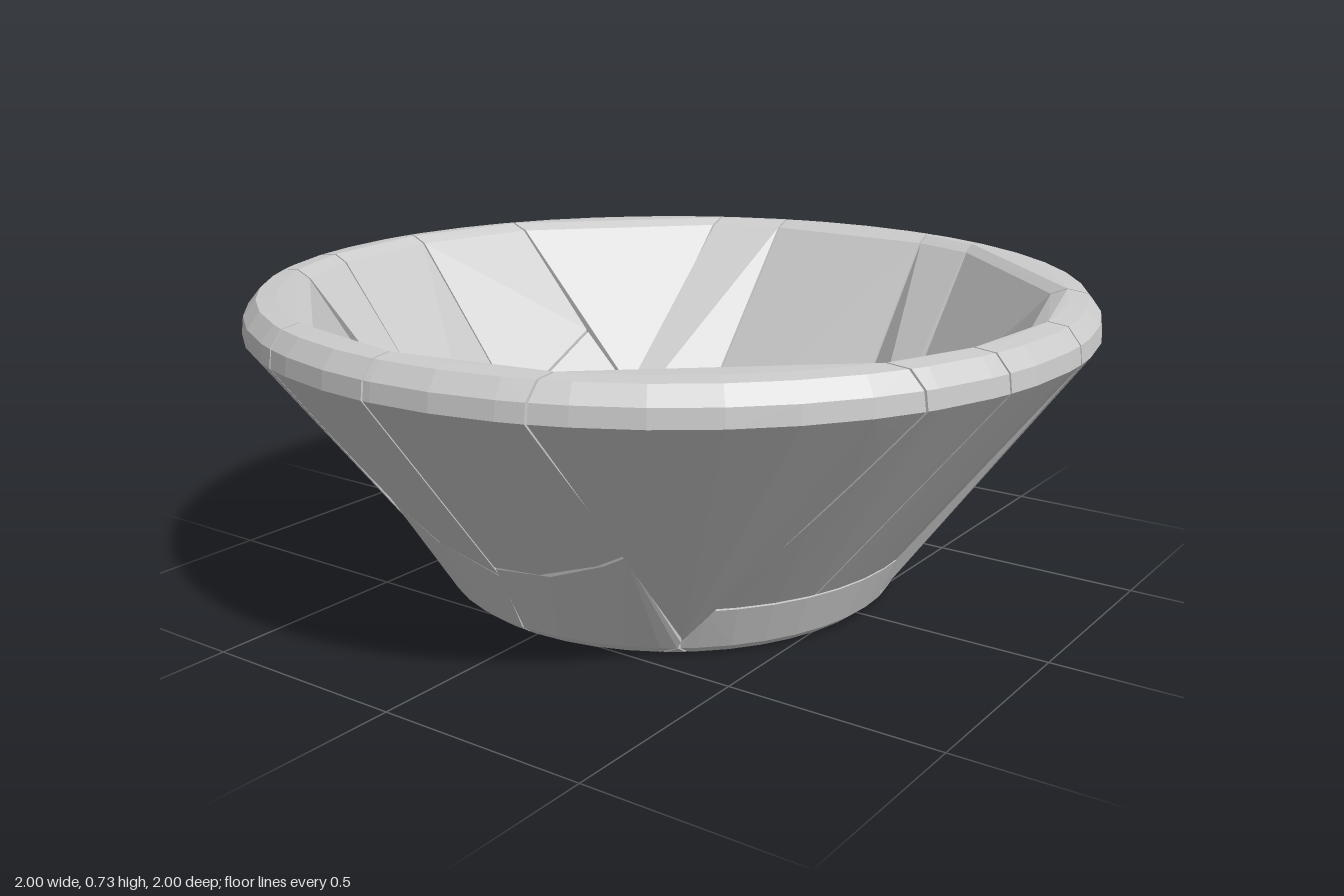
import * as THREE from 'three';
import { ConvexGeometry } from 'three/addons/geometries/ConvexGeometry.js';

// Half-profiles of the bowl wall as [radius, height]
const OUTER = [[0.525, 0], [0.55, 0.02], [0.6, 0.14], [1, 0.65], [0.995, 0.69], [0.965, 0.727]];
const INNER = [[0.36, 0.1], [0.43, 0.125], [0.46, 0.155], [0.865, 0.68], [0.885, 0.715], [0.92, 0.732]];
const SEGMENTS = 44;
const GAP = 0.0025;
const INF = 9;

// Linear lookup along a profile: from column a to column b
function lookup(profile, value, a, b) {
  if (value <= profile[0][a]) return profile[0][b];
  for (let i = 1; i < profile.length; i++) {
    const p = profile[i - 1], q = profile[i];
    if (value <= q[a]) return p[b] + (q[b] - p[b]) * (value - p[a]) / (q[a] - p[a]);
  }
  return profile[profile.length - 1][b];
}

// One solid block: the hull of the part of the bowl lying inside a box
function block(x0, x1, z0, z1, y0 = -INF, y1 = INF) {
  x0 += GAP; x1 -= GAP; z0 += GAP; z1 -= GAP; y0 += GAP; y1 -= GAP;
  const points = [];
  const e = 1e-6;
  const add = (x, y, z) => {
    if (x < x0 - e || x > x1 + e || z < z0 - e || z > z1 + e || y < y0 - e || y > y1 + e) return;
    const p = new THREE.Vector3(x, y, z);
    if (!points.some(q => q.distanceToSquared(p) < 1e-6)) points.push(p);
  };

  for (const profile of [OUTER, INNER]) {
    const low = profile[0][1], high = profile[profile.length - 1][1];
    const rings = profile.map(([r, y]) => [r, y, true]);
    // Rings on the horizontal cuts
    for (const y of [y0, y1]) {
      if (y > low && y < high) rings.push([lookup(profile, y, 1, 0), y, true]);
    }
    // Extra rings give the curved edges on the upright cuts
    for (let i = 1; i < 9; i++) {
      const y = 0.15 + i * 0.056;
      rings.push([lookup(profile, y, 1, 0), y, false]);
    }
    for (const [r, y, full] of rings) {
      for (const x of [x0, x1]) {
        if (Math.abs(x) < r) for (const s of [-1, 1]) add(x, y, s * Math.sqrt(r * r - x * x));
      }
      for (const z of [z0, z1]) {
        if (Math.abs(z) < r) for (const s of [-1, 1]) add(s * Math.sqrt(r * r - z * z), y, z);
      }
      for (let i = 0; full && i < SEGMENTS; i++) {
        const a = (i / SEGMENTS) * Math.PI * 2;
        add(r * Math.cos(a), y, r * Math.sin(a));
      }
    }
  }

  // Upright corner edges of the box, cut to the thickness of the wall
  for (const x of [x0, x1]) for (const z of [z0, z1]) {
    const r = Math.hypot(x, z);
    if (r > 0.9) continue;
    const bottom = Math.max(lookup(OUTER.slice(0, 4), r, 0, 1), y0);
    const top = Math.min(lookup(INNER, r, 0, 1), y1);
    if (bottom < top) { add(x, bottom, z); add(x, top, z); }
  }
  return new ConvexGeometry(points);
}

export function createModel() {
  const bowl = new THREE.Group();
  bowl.name = 'bowl';
  const material = new THREE.MeshStandardMaterial({ color: 0xcccccc, flatShading: true });

  const M = -0.07; // main cut across the bowl
  const C = -0.02; // cut along the middle
  // Each block: x range, z range, optional y range
  const parts = {
    backWall: [
      [-0.41, -0.23, -INF, M, 0.135], [-0.23, 0.22, -INF, M, 0.135], [0.22, 0.385, -INF, M, 0.135],
    ],
    backBase: [
      [-0.41, C, -INF, M, -INF, 0.135], [C, 0.385, -INF, M, -INF, 0.135],
    ],
    backRightWall: [
      [-INF, -0.41, -INF, -0.39], [-INF, -0.57, -0.39, M], [-0.57, -0.41, -0.39, M],
    ],
    backLeftWall: [
      [0.385, INF, -INF, -0.42], [0.55, INF, -0.42, M], [0.385, 0.55, -0.42, M],
    ],
    rightWall: [
      [-INF, C, M, 0.25, 0.16], [-INF, C, 0.25, 0.45, 0.16],
    ],
    rightBase: [
      [-INF, -0.34, M, 0.45, -INF, 0.16], [-0.34, C, M, 0.27, -INF, 0.16],
      [-0.34, C, 0.27, 0.45, -INF, 0.16],
    ],
    leftWall: [
      [C, INF, M, 0.23, 0.125], [C, INF, 0.23, 0.44, 0.125],
    ],
    leftBase: [
      [0.33, INF, M, 0.44, -INF, 0.125], [C, 0.33, M, 0.23, -INF, 0.125],
      [C, 0.33, 0.23, 0.44, -INF, 0.125],
    ],
    frontWall: [
      [-INF, -0.355, 0.45, INF], [-0.355, C, 0.45, 0.62], [-0.355, C, 0.62, INF],
      [0.34, INF, 0.44, INF], [C, 0.34, 0.44, 0.64], [C, 0.34, 0.64, INF],
    ],
  };

  for (const [name, blocks] of Object.entries(parts)) {
    const group = new THREE.Group();
    group.name = name;
    blocks.forEach((range, i) => {
      const mesh = new THREE.Mesh(block(...range), material);
      mesh.name = `${name}Block${i + 1}`;
      group.add(mesh);
    });
    bowl.add(group);
  }
  return bowl;
}
